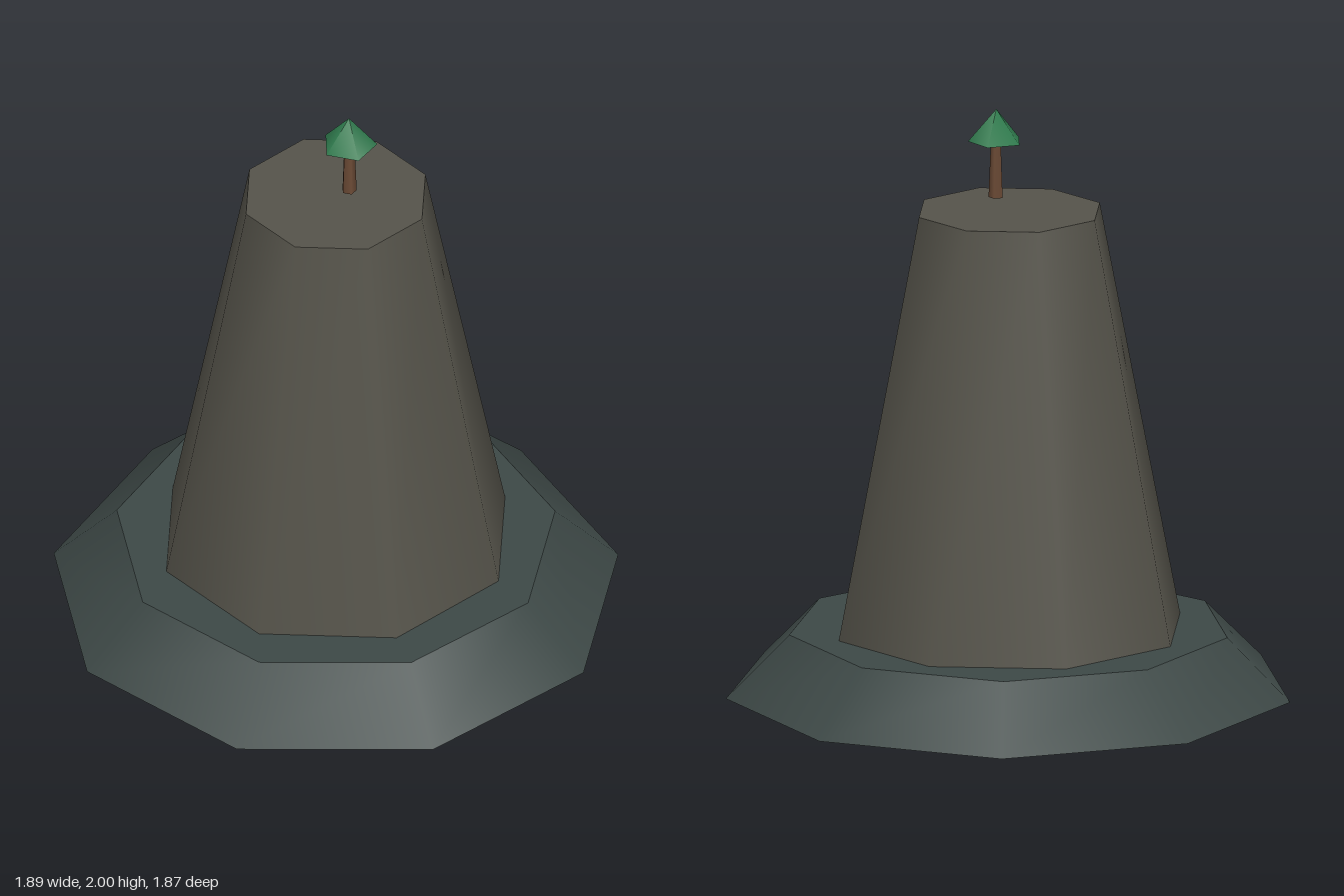
import * as THREE from 'three';

// Tapered prism standing on height y0, with its first corner facing +z
function frustum(name, color, sides, rBottom, rTop, y0, y1, x, z) {
  const geometry = new THREE.CylinderGeometry(rTop, rBottom, y1 - y0, sides);
  const mesh = new THREE.Mesh(geometry, new THREE.MeshStandardMaterial({ color }));
  mesh.name = name;
  mesh.position.set(x, (y0 + y1) / 2, z);
  return mesh;
}

export function createModel() {
  const model = new THREE.Group();
  model.name = 'rockPillarWithTree';

  // Nine-sided rock skirt and eight-sided pillar
  model.add(frustum('base', 0x3d4846, 9, 0.962, 0.747, 0, 0.213, 0, -0.031));
  model.add(frustum('pillar', 0x55534a, 8, 0.604, 0.32, 0.213, 1.657, 0, -0.032));

  // Small tree hovering just above the pillar top
  const tree = new THREE.Group();
  tree.name = 'tree';
  tree.add(frustum('trunk', 0x6b4a35, 5, 0.026, 0.018, 1.695, 1.9, 0.033, 0.008));
  tree.add(frustum('foliage', 0x2f7a4d, 5, 0.095, 0, 1.888, 2, 0.033, 0.008));
  model.add(tree);

  return model;
}
